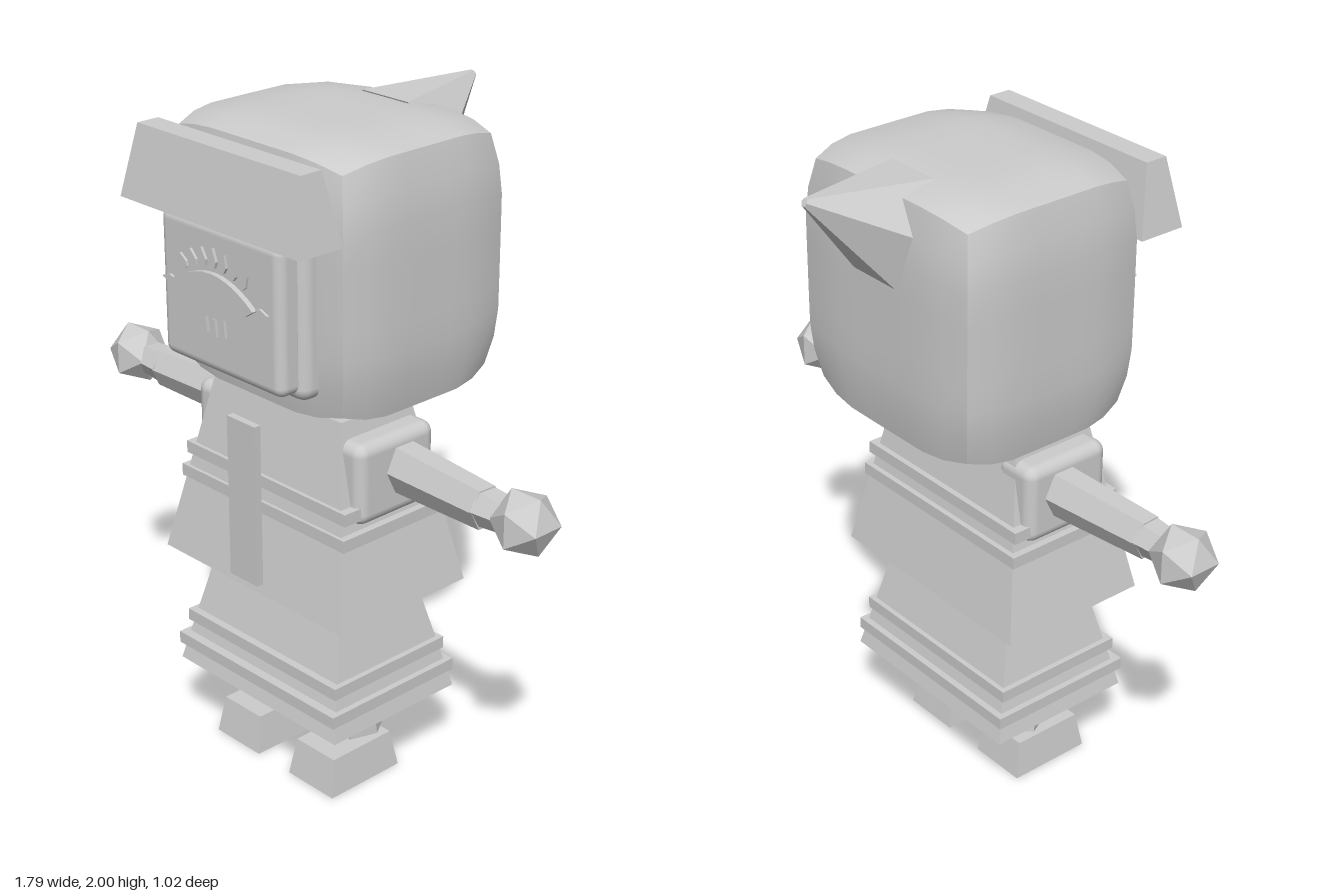
import * as THREE from 'three';
import { RoundedBoxGeometry } from 'three/addons/geometries/RoundedBoxGeometry.js';

const grey = new THREE.MeshStandardMaterial({ color: 0xcccccc });
grey.name = 'plain grey';

function add(parent, name, geometry, x = 0, y = 0, z = 0) {
  const mesh = new THREE.Mesh(geometry, grey);
  mesh.name = name;
  mesh.position.set(x, y, z);
  parent.add(mesh);
  return mesh;
}

// Faceted copy of a geometry
function facet(geometry) {
  const g = geometry.index ? geometry.toNonIndexed() : geometry;
  g.computeVertexNormals();
  return g;
}

// Box whose top is tx by tz and whose bottom is bx by bz (half sizes)
function taper(tx, tz, bx, bz, h) {
  const g = new THREE.BoxGeometry(2, h, 2);
  const p = g.attributes.position;
  for (let i = 0; i < p.count; i++) {
    const top = p.getY(i) > 0;
    p.setX(i, p.getX(i) * (top ? tx : bx));
    p.setZ(i, p.getZ(i) * (top ? tz : bz));
  }
  g.computeVertexNormals();
  return g;
}

// Box with pillowed faces that meet in sharp edges
function pillow(hx, hy, hz) {
  const g = new THREE.BoxGeometry(2, 2, 2, 8, 8, 8);
  const p = g.attributes.position;
  const f = (t) => 0.07 * Math.max(0, (Math.abs(t) - 0.45) / 0.55) ** 2;
  for (let i = 0; i < p.count; i++) {
    const x = p.getX(i), y = p.getY(i), z = p.getZ(i);
    p.setXYZ(i, hx * x * (1 - f(y) - f(z)), hy * y * (1 - f(x) - f(z)), hz * z * (1 - f(x) - f(y)));
  }
  g.computeVertexNormals();
  return g;
}

function plate(points, depth) {
  const shape = new THREE.Shape(points.map(([x, y]) => new THREE.Vector2(x, y)));
  return new THREE.ExtrudeGeometry(shape, { depth, bevelEnabled: false });
}

function buildHead(root) {
  const head = new THREE.Group();
  head.name = 'head';
  root.add(head);
  add(head, 'skull', pillow(0.38, 0.393, 0.322), 0, 1.598, 0.045);
  add(head, 'faceFrame', new RoundedBoxGeometry(0.535, 0.465, 0.1, 3, 0.04), 0, 1.533, 0.36);
  add(head, 'facePanel', new RoundedBoxGeometry(0.49, 0.43, 0.09, 3, 0.03), 0, 1.54, 0.424);
  add(head, 'fringe', taper(0.327, 0.036, 0.364, 0.076, 0.208), 0, 1.864, 0.43);

  // Six-sided horn pointing backwards
  const cone = facet(new THREE.CylinderGeometry(0.012, 0.18, 0.32, 6, 1, false, Math.PI / 6));
  add(head, 'horn', cone, 0, 1.92, -0.361).rotation.x = -THREE.MathUtils.degToRad(64);

  // Eye with its lashes
  const eye = new THREE.Group();
  eye.name = 'eye';
  eye.position.set(0, 1.565, 0.48);
  head.add(eye);
  const lens = new THREE.Shape();
  lens.moveTo(-0.168, 0);
  lens.quadraticCurveTo(0, -0.126, 0.168, 0);
  lens.quadraticCurveTo(0, 0.126, -0.168, 0);
  add(eye, 'eyeLens', new THREE.ExtrudeGeometry(lens, { depth: 0.016, bevelEnabled: false, curveSegments: 10 }));

  const lash = plate([[-0.008, 0], [0.008, 0], [0.014, 0.018], [0, 0.055], [-0.014, 0.018]], 0.009);
  for (let i = -3; i <= 3; i++) {
    const x = i * 0.038;
    const m = add(eye, 'upperLash', lash, x, 0.078 - 2.2 * x * x, 0);
    m.rotation.z = -x * 5;
    m.scale.setScalar(1 - Math.abs(i) * 0.07);
  }
  const lower = plate([[-0.006, 0], [-0.012, -0.05], [0.012, -0.05], [0.006, 0]], 0.009);
  for (const i of [-1, 0, 1]) {
    add(eye, 'lowerLash', lower, i * 0.037 - 0.003, i ? -0.062 : -0.068, 0);
  }
  for (const s of [-1, 1]) {
    const m = add(eye, 'cornerLash', lash, s * 0.17, 0, 0);
    m.rotation.z = -s * Math.PI / 2;
    m.scale.setScalar(0.85);
  }
}

function buildBody(root) {
  const body = new THREE.Group();
  body.name = 'body';
  root.add(body);
  add(body, 'coat', taper(0.262, 0.133, 0.38, 0.246, 0.575), 0, 0.92, 0.133);
  add(body, 'skirt', taper(0.265, 0.148, 0.342, 0.242, 0.378), 0, 0.444, 0.126);
  // Trim bands: y, half width, half depth
  for (const [y, hx, hz] of [[0.955, 0.338, 0.194], [0.882, 0.347, 0.207], [0.405, 0.325, 0.22], [0.328, 0.342, 0.244]]) {
    add(body, 'trimBand', new THREE.BoxGeometry(hx * 2, 0.037, hz * 2), 0, y, 0.13);
  }
  add(body, 'frontStrip', new THREE.BoxGeometry(0.117, 0.5, 0.022), -0.005, 0.917, 0.388);
}

function buildLimbs(root) {
  const upperArm = facet(new THREE.CylinderGeometry(0.066, 0.082, 0.42, 6));
  const wrist = facet(new THREE.CylinderGeometry(0.05, 0.058, 0.1, 6));
  const leg = facet(new THREE.CylinderGeometry(0.083, 0.083, 0.2, 6, 1, false, Math.PI / 6));
  for (const s of [-1, 1]) {
    const arm = new THREE.Group();
    arm.name = s > 0 ? 'leftArm' : 'rightArm';
    root.add(arm);
    add(arm, 'shoulder', new RoundedBoxGeometry(0.15, 0.245, 0.295, 3, 0.035), s * 0.272, 1.035, 0.128);
    const sleeve = add(arm, 'sleeve', upperArm, s * 0.47, 1.053, 0.113);
    sleeve.rotation.set(0, -s * 0.06, -s * Math.PI / 2);
    sleeve.scale.z = 0.85;
    add(arm, 'wrist', wrist, s * 0.72, 1.056, 0.125).rotation.z = -s * Math.PI / 2;
    add(arm, 'hand', new THREE.IcosahedronGeometry(0.097, 0), s * 0.813, 1.058, 0.122);

    const side = s > 0 ? 'left' : 'right';
    add(root, side + 'Leg', leg, s * 0.164, 0.235, 0.122).rotation.x = 0.17;
    add(root, side + 'Foot', taper(0.08, 0.115, 0.095, 0.136, 0.117), s * 0.164, 0.0585, 0.165);
  }
}

export function createModel() {
  const root = new THREE.Group();
  root.name = 'figure';
  buildHead(root);
  buildBody(root);
  buildLimbs(root);
  return root;
}
